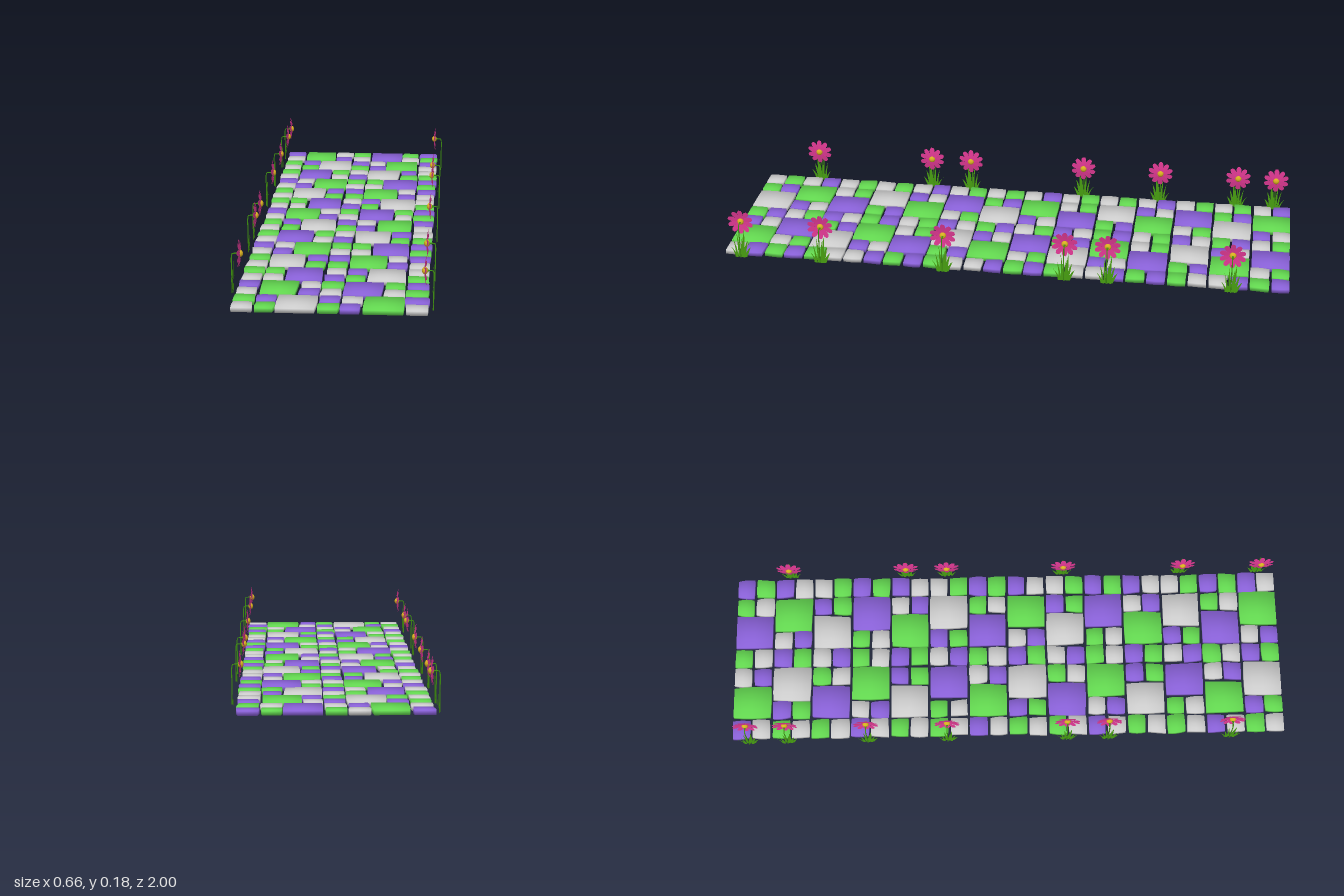
import * as THREE from 'three';

const mat = (color, side = THREE.FrontSide) => new THREE.MeshStandardMaterial({ color, side });
const STONE = { G: mat(0x62d64f), P: mat(0x8860d6), W: mat(0xcccccc) };
const GREEN = mat(0x3f9410), LEAF = mat(0x469c10, THREE.DoubleSide);
const PINK = mat(0xd9378f, THREE.DoubleSide), YELLOW = mat(0xd8b020);

let seed = 7;
const jitter = (a) => {
  seed = (seed * 16807) % 2147483647;
  return (seed / 2147483647 - 0.5) * 2 * a;
};

// Cobble: a thin slab with a wobbly four-cornered outline and pillowy normals
function stone(x0, x1, z0, z1, color, j = 0.004) {
  const geo = new THREE.BoxGeometry(2, 2, 2, 4, 1, 4);
  const p = geo.attributes.position, n = geo.attributes.normal;
  const c = [[x0, z0], [x1, z0], [x0, z1], [x1, z1]].map(([x, z]) => [x + jitter(j), z + jitter(j * 0.5)]);
  const bowX = 0.002 + jitter(0.002), bowZ = 0.001 + jitter(0.001);
  const v = new THREE.Vector3();
  for (let i = 0; i < p.count; i++) {
    const u = p.getX(i), h = p.getY(i), w = p.getZ(i);
    const a = (u + 1) / 2, b = (w + 1) / 2;
    const mix = (k) => (c[0][k] * (1 - a) + c[1][k] * a) * (1 - b) + (c[2][k] * (1 - a) + c[3][k] * a) * b;
    const rim = Math.max(Math.abs(u), Math.abs(w)) > 0.99 ? 0.0073 : 0.0085;
    p.setXYZ(i, mix(0) + u * bowX * (1 - w * w), 0.0085 + h * rim,
      THREE.MathUtils.clamp(mix(1) + w * bowZ * (1 - u * u), -1, 1));
    v.set(u * 0.6, h, w * 0.6).normalize();
    n.setXYZ(i, v.x, v.y, v.z);
  }
  const m = new THREE.Mesh(geo, STONE[color]);
  m.name = 'pavingStone';
  return m;
}

// Column edges for the two alternating courses; 'L' columns hold one large stone
const COURSES = [
  { edges: [-0.312, -0.238, -0.111, -0.04, 0.034, 0.164, 0.235, 0.312], large: [1, 4] },
  { edges: [-0.312, -0.238, -0.17, -0.04, 0.034, 0.103, 0.235, 0.312], large: [2, 5] },
];
// Colours per column, front-to-back pairs for the small stones; repeats every three rows
const COLORS = [
  ['PW', 'G', 'WP', 'GW', 'P', 'GW', 'PG'],
  ['GW', 'PG', 'W', 'PG', 'WP', 'G', 'PW'],
  ['GW', 'P', 'GW', 'WP', 'W', 'PG', 'WG'],
];

function pairColors(row, col) {
  const large = COURSES[row % 2].large;
  const pattern = COLORS[row % 3];
  const small = pattern.filter((s) => s.length === 2);
  const big = pattern.filter((s) => s.length === 1);
  const li = large.indexOf(col);
  return li >= 0 ? big[li] : small[col - large.filter((l) => l < col).length];
}

function path() {
  const g = new THREE.Group();
  g.name = 'cobbledPath';
  const rows = 14, gap = 0.01, pitch = (2 + gap) / rows;
  for (let r = 0; r < rows; r++) {
    const { edges } = COURSES[r % 2];
    const z0 = -1 + r * pitch, z1 = z0 + pitch - gap, mid = (z0 + z1) / 2;
    for (let k = 0; k < 7; k++) {
      const x0 = edges[k] + gap / 2, x1 = edges[k + 1] - gap / 2;
      const colors = pairColors(r, k);
      if (colors.length === 1) g.add(stone(x0, x1, z0, z1, colors));
      else {
        g.add(stone(x0, x1, z0, mid - gap / 2, colors[0]));
        g.add(stone(x0, x1, mid + gap / 2, z1, colors[1]));
      }
    }
  }
  return g;
}

// Petal in the yz plane facing +x, its tip swept back
function petalGeometry() {
  const s = new THREE.Shape();
  s.moveTo(-0.003, 0.006);
  s.bezierCurveTo(-0.006, 0.02, -0.014, 0.034, -0.006, 0.044);
  s.quadraticCurveTo(-0.003, 0.047, 0, 0.0455);
  s.quadraticCurveTo(0.003, 0.047, 0.006, 0.044);
  s.bezierCurveTo(0.014, 0.034, 0.006, 0.02, 0.003, 0.006);
  const geo = new THREE.ShapeGeometry(s, 5);
  const p = geo.attributes.position;
  for (let i = 0; i < p.count; i++) p.setZ(i, -3 * p.getY(i) ** 2);
  geo.computeVertexNormals();
  return geo.rotateY(Math.PI / 2);
}

// Grass blade: a tapering strip leaning along z
function bladeGeometry(z, h, lean, x) {
  const s = new THREE.Shape();
  s.moveTo(z - 0.004, 0);
  s.quadraticCurveTo(z - 0.003 + lean * 0.2, h * 0.6, z + lean, h);
  s.quadraticCurveTo(z + 0.006 + lean * 0.3, h * 0.5, z + 0.004, 0);
  return new THREE.ShapeGeometry(s, 4).rotateY(-Math.PI / 2).translate(x, 0, 0);
}

const PETAL = petalGeometry();
const STEM = new THREE.TubeGeometry(new THREE.CatmullRomCurve3([
  [0, 0, 0], [0, 0.06, 0], [0, 0.122, 0], [0.003, 0.13, 0], [0.01, 0.13, 0], [0.018, 0.13, 0],
].map((a) => new THREE.Vector3(...a))), 18, 0.002, 6);
const CALYX = new THREE.LatheGeometry(
  [[0.002, 0], [0.003, 0.005], [0.006, 0.01], [0.011, 0.014], [0, 0.0145]].map((a) => new THREE.Vector2(...a)), 10,
).rotateZ(-Math.PI / 2);
const CENTRE = new THREE.SphereGeometry(0.012, 12, 8).scale(0.8, 1, 1);
// z, height, lean, x
const BLADES = [
  [-0.016, 0.045, -0.022, 0.003], [-0.012, 0.075, -0.012, 0.001], [-0.005, 0.1, -0.006, 0.004],
  [0.004, 0.085, 0.006, 0.002], [0.009, 0.108, 0.008, 0.005], [0.013, 0.07, 0.016, 0.001], [0.018, 0.042, 0.02, 0.004],
].map((b) => bladeGeometry(...b));

// Daisy whose stem bends toward +x
function flower() {
  const g = new THREE.Group();
  g.name = 'flower';
  const add = (name, geo, material, x = 0, y = 0) => {
    const m = new THREE.Mesh(geo, material);
    m.name = name;
    m.position.set(x, y, 0);
    g.add(m);
    return m;
  };
  add('stem', STEM, GREEN);
  add('calyx', CALYX, GREEN, 0.013, 0.13);
  add('flowerCentre', CENTRE, YELLOW, 0.028, 0.13);
  for (let i = 0; i < 10; i++) add('petal', PETAL, PINK, 0.029 + (i % 2) * 0.001, 0.13).rotation.x = (i * Math.PI) / 5;
  BLADES.forEach((b) => add('grassBlade', b, LEAF));
  return g;
}

export function createModel() {
  const model = new THREE.Group();
  model.name = 'flowerPath';
  model.add(path());
  // Flowers along both borders face the path
  const borders = [
    [-1, [-0.94, -0.8, -0.51, -0.22, 0.21, 0.36, 0.8]],
    [1, [-0.8, -0.37, -0.22, 0.21, 0.65, 0.94]],
  ];
  for (const [side, zs] of borders) {
    for (const z of zs) {
      const f = flower();
      f.position.set(side * 0.326, 0, z);
      if (side > 0) f.rotation.y = Math.PI;
      model.add(f);
    }
  }
  return model;
}
